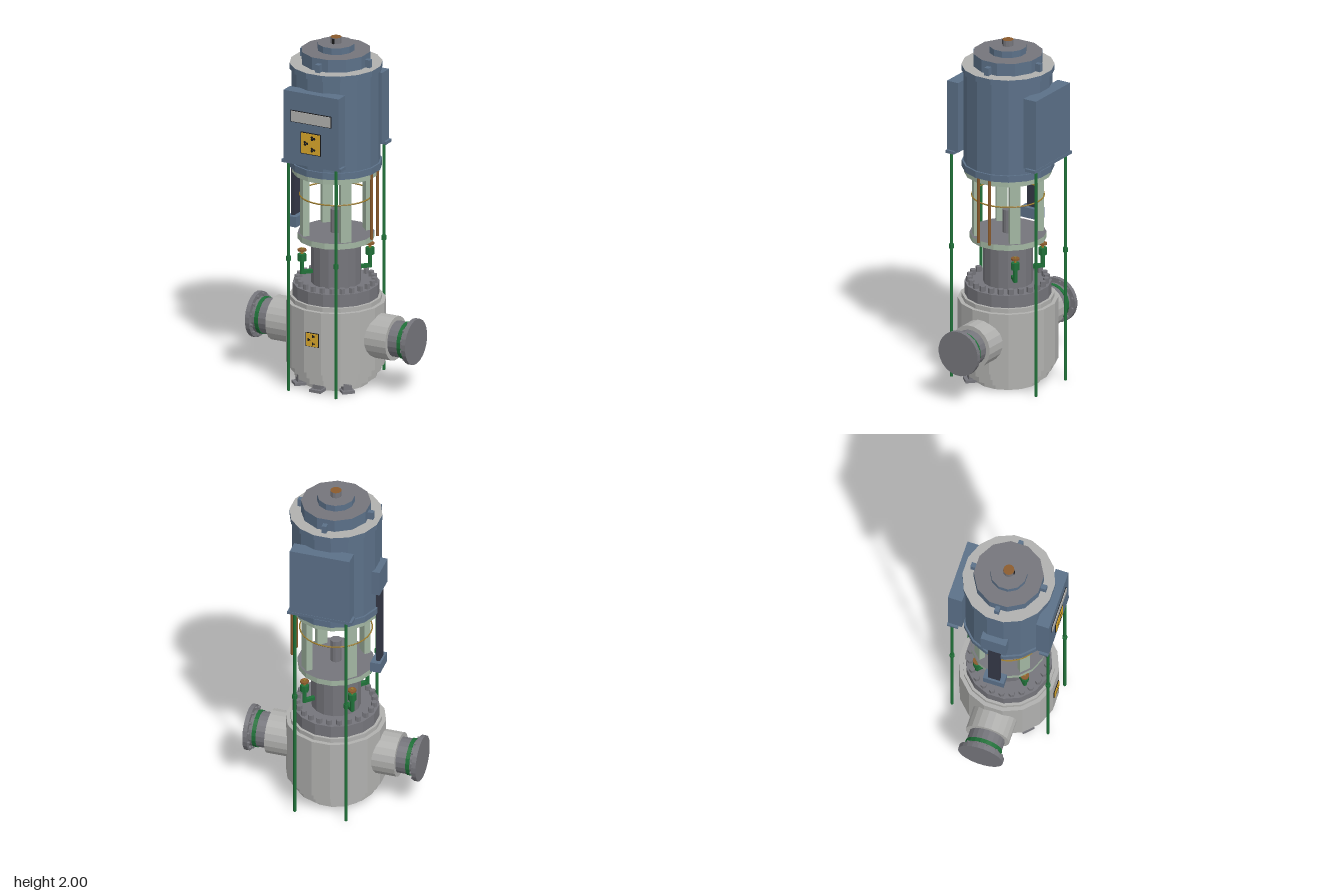
import * as THREE from 'three';

const mat = (name, color, flat = true) => {
  const m = new THREE.MeshStandardMaterial({ color, flatShading: flat });
  m.name = name;
  return m;
};

export function createModel() {
  const root = new THREE.Group();
  root.name = 'verticalPump';

  const light = mat('lightGrey', 0xb0b0ae);
  const dark = mat('darkGrey', 0x75757b);
  const blue = mat('motorBlue', 0x5b7088);
  const pale = mat('paleGreen', 0xa2b6a2);
  const green = mat('pipeGreen', 0x1f7038);
  const brown = mat('copper', 0x8a5a2c);
  const brass = mat('brass', 0x9a7a2c);
  const yellow = mat('signYellow', 0xd8a62a);
  const slate = mat('cableSlate', 0x343746);
  const black = mat('signBlack', 0x18181a);

  const add = (name, geo, material, x = 0, y = 0, z = 0, parent = root) => {
    const m = new THREE.Mesh(geo, material);
    m.name = name;
    m.position.set(x, y, z);
    parent.add(m);
    return m;
  };
  const box = (name, m, x0, x1, y0, y1, z0, z1, parent = root) =>
    add(name, new THREE.BoxGeometry(x1 - x0, y1 - y0, z1 - z0), m,
      (x0 + x1) / 2, (y0 + y1) / 2, (z0 + z1) / 2, parent);
  // Upright drum with flats facing front and sides; r is the distance to a flat
  const drum = (name, m, r, y0, y1, n = 16, x = 0, z = 0, parent = root) => {
    const g = new THREE.CylinderGeometry(r / Math.cos(Math.PI / n), r / Math.cos(Math.PI / n), y1 - y0, n);
    g.rotateY(Math.PI / n);
    return add(name, g, m, x, (y0 + y1) / 2, z, parent);
  };

  // Pump casing
  drum('casingBase', [light, light, dark], 0.18, 0, 0.04);
  drum('casingLowerStep', light, 0.225, 0.04, 0.08);
  drum('casingLowerRing', light, 0.25, 0.08, 0.12);
  drum('casing', light, 0.272, 0.12, 0.48);
  drum('casingUpperRing', light, 0.25, 0.48, 0.505);
  drum('coverFlange', dark, 0.235, 0.505, 0.577);
  for (let i = 0; i < 24; i++) {
    const a = (i + 0.5) * Math.PI / 12;
    drum('coverBolt', dark, 0.015, 0.577, 0.607, 6, 0.213 * Math.sin(a), 0.213 * Math.cos(a));
  }

  // Feet on the front half
  for (const a of [-Math.PI / 4, 0, Math.PI / 4]) {
    const foot = new THREE.Group();
    foot.name = 'foot';
    foot.rotation.y = a;
    root.add(foot);
    box('footPad', dark, -0.035, 0.035, 0, 0.016, 0.15, 0.245, foot);
    box('footLeg', dark, -0.025, 0.025, 0.016, 0.08, 0.16, 0.225, foot);
  }

  // Inlet and outlet nozzles, built upright and laid along x
  for (const s of [-1, 1]) {
    const nozzle = new THREE.Group();
    nozzle.name = s > 0 ? 'leftNozzle' : 'rightNozzle';
    nozzle.position.y = 0.305;
    nozzle.rotation.z = -s * Math.PI / 2;
    root.add(nozzle);
    drum('nozzleSleeve', light, 0.124, 0.2, 0.375, 20, 0, 0, nozzle);
    drum('nozzlePipe', dark, 0.1, 0.37, 0.48, 20, 0, 0, nozzle);
    drum('nozzleBand', green, 0.104, 0.433, 0.455, 20, 0, 0, nozzle);
    drum('nozzleFlange', dark, 0.128, 0.475, 0.5, 24, 0, 0, nozzle);
    for (let i = 0; i < 12; i++) {
      const a = (i + 0.5) * Math.PI / 6;
      drum('nozzleBolt', dark, 0.008, 0.463, 0.475, 6, 0.115 * Math.sin(a), 0.115 * Math.cos(a), nozzle);
    }
  }

  // Neck, mounting plate and shaft
  drum('neck', dark, 0.135, 0.57, 0.835);
  drum('neckPlate', [pale, dark, pale], 0.208, 0.832, 0.865);
  drum('driveShaft', dark, 0.03, 0.86, 1.0, 12);

  // Lantern posts and wire guard ring
  for (const sx of [-1, 1]) for (const sz of [-1, 1]) {
    const post = add('lanternPost', new THREE.BoxGeometry(0.06, 0.36, 0.035), pale, sx * 0.127, 1.043, sz * 0.127);
    post.rotation.y = sx * sz * Math.PI / 4;
  }
  add('guardRing', new THREE.TorusGeometry(0.2, 0.004, 6, 32), brass, 0, 1.085, 0).rotation.x = Math.PI / 2;

  // Motor
  drum('motorMount', pale, 0.238, 1.22, 1.252);
  drum('motorLowerFlange', blue, 0.25, 1.252, 1.29);
  drum('motorHousing', blue, 0.24, 1.29, 1.822);
  drum('motorUpperFlange', [blue, light, blue], 0.252, 1.822, 1.855);
  drum('motorCap', [blue, dark, blue], 0.187, 1.855, 1.928, 12);
  drum('motorCapDisc', [blue, dark, blue], 0.1, 1.928, 1.966, 12);
  drum('motorShaftEnd', [dark, brown, dark], 0.03, 1.966, 2.0, 12);
  box('shaftKey', black, -0.006, 0.006, 1.966, 1.996, 0.026, 0.034);
  for (let i = 0; i < 4; i++) {
    const a = i * Math.PI / 2;
    const lug = add('liftingLug', new THREE.BoxGeometry(0.027, 0.045, 0.035), blue,
      0.201 * Math.sin(a), 1.878, 0.201 * Math.cos(a));
    lug.rotation.y = a;
  }

  // Control cabinets front and back
  for (const s of [-1, 1]) {
    const cabinet = new THREE.Group();
    cabinet.name = s > 0 ? 'frontCabinet' : 'backCabinet';
    cabinet.rotation.y = s > 0 ? 0 : Math.PI;
    root.add(cabinet);
    box('cabinetBody', blue, -0.172, 0.172, 1.34, 1.75, 0.215, s > 0 ? 0.288 : 0.296, cabinet);
    box('cabinetLip', blue, -0.186, 0.186, 1.328, 1.345, 0.235, s > 0 ? 0.288 : 0.298, cabinet);
  }
  box('nameplateBorder', black, -0.127, 0.127, 1.574, 1.642, 0.287, 0.291);
  box('nameplate', light, -0.123, 0.123, 1.578, 1.638, 0.288, 0.295);

  // Warning signs: yellow plate, dark border and a cluster of marks
  const sign = (name, w, y, z) => {
    const g = new THREE.Group();
    g.name = name;
    g.position.set(0, y, z);
    root.add(g);
    const h = w / 2;
    box('signBorder', black, -h, h, -h, h, -0.002, 0.003, g);
    box('signPlate', yellow, -h * 0.93, h * 0.93, -h * 0.93, h * 0.93, 0, 0.006, g);
    for (const [x, yy] of [[-0.45, 0], [0.25, 0.55], [0.25, -0.5]]) {
      for (const [dx, dy] of [[-0.1, 0.1], [-0.1, -0.1], [0.12, 0]]) {
        add('signMark', new THREE.CircleGeometry(h * 0.13, 6), black, (x + dx) * h, (yy + dy) * h, 0.0075, g);
      }
    }
  };
  sign('motorSign', 0.126, 1.463, 0.289);
  sign('casingSign', 0.08, 0.318, 0.274);

  // Junction box and cable duct on the right side
  box('junctionBox', blue, -0.275, -0.225, 1.4, 1.55, -0.073, 0.073);
  box('cableDuct', slate, -0.264, -0.242, 0.925, 1.4, -0.034, 0.034);
  box('ductEndBox', blue, -0.275, -0.217, 0.87, 0.93, -0.06, 0.06);

  // Copper tubes on the left side
  for (const z of [-0.035, 0.035]) drum('copperTube', brown, 0.008, 0.87, 1.26, 8, 0.241, z);

  // Tall conduits under the cabinets
  for (const x of [-0.148, 0.148]) for (const z of [-0.28, 0.275]) {
    drum('conduit', green, 0.008, 0, 1.335, 8, x, z);
    drum('conduitCoupling', green, 0.013, 0.757, 0.782, 8, x, z);
  }

  // Small valves around the neck
  for (const a of [-Math.PI / 4, -3 * Math.PI / 4, 3 * Math.PI / 4]) {
    const valve = new THREE.Group();
    valve.name = 'neckValve';
    valve.rotation.y = a;
    root.add(valve);
    box('valveBranch', green, -0.011, 0.011, 0.64, 0.66, 0.125, 0.2, valve);
    drum('valvePipe', green, 0.011, 0.64, 0.73, 8, 0, 0.195, valve);
    drum('valveBody', green, 0.022, 0.715, 0.755, 8, 0, 0.195, valve);
    drum('valveStem', brass, 0.007, 0.755, 0.79, 6, 0, 0.195, valve);
    drum('valveWheel', brown, 0.023, 0.773, 0.783, 10, 0, 0.195, valve);
  }

  return root;
}
